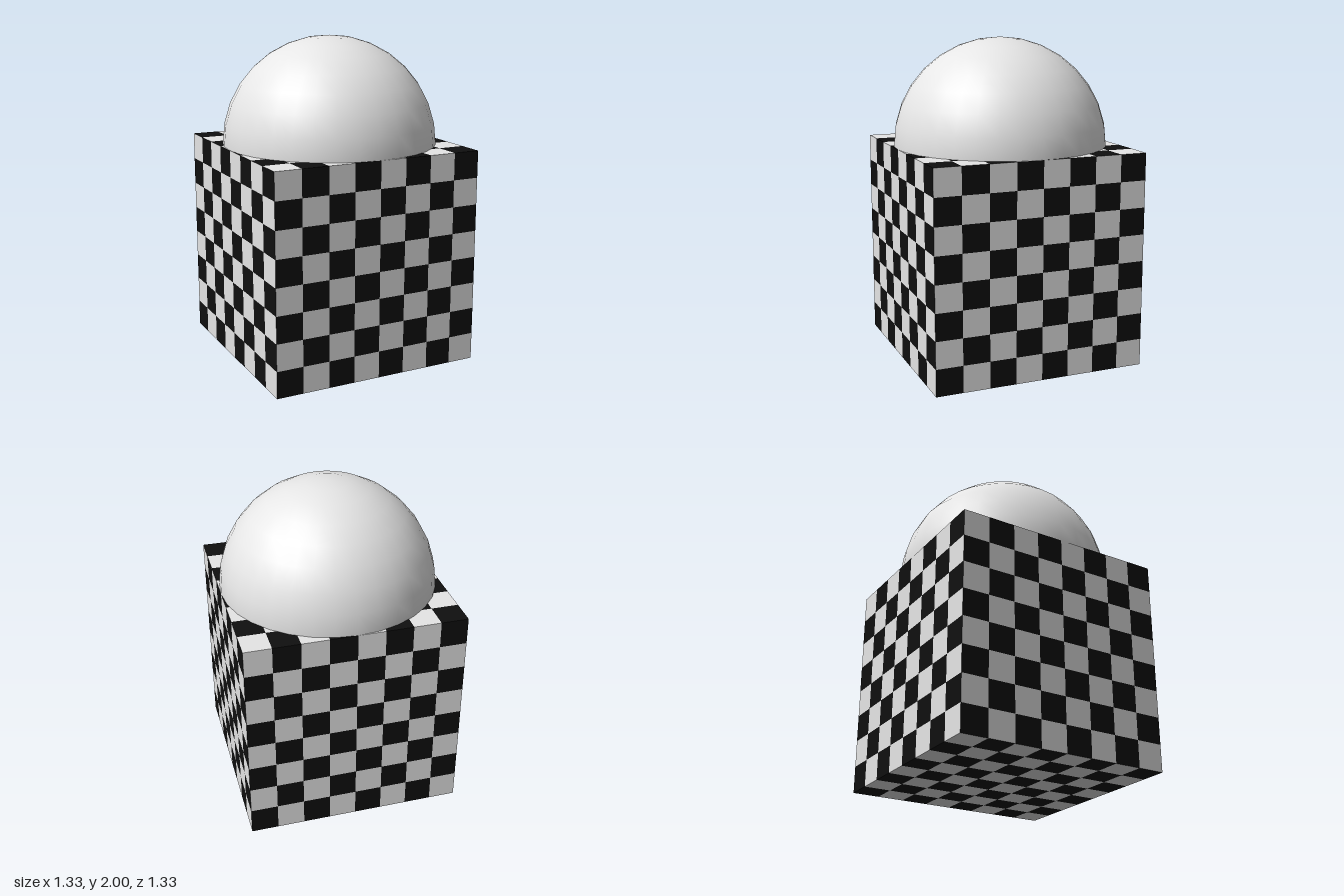
import * as THREE from 'three';

const SIDE = 4 / 3;
const CELLS = 8;

const white = new THREE.MeshStandardMaterial({ color: 0xe6e6e6 });
white.name = 'offWhite';
const black = new THREE.MeshStandardMaterial({ color: 0x0f0f0f });
black.name = 'nearBlack';

// Cube whose faces are sorted into two colour groups, one quad per square
function checkeredBox() {
  const geometry = new THREE.BoxGeometry(SIDE, SIDE, SIDE, CELLS, CELLS, CELLS);
  const source = geometry.index.array;
  const squares = [[], []];
  for (let face = 0; face < 6; face++) {
    // The top and bottom start on a dark square, the four walls on a light one
    const shift = face === 2 || face === 3 ? 1 : 0;
    for (let row = 0; row < CELLS; row++) {
      for (let col = 0; col < CELLS; col++) {
        const start = ((face * CELLS + row) * CELLS + col) * 6;
        squares[(row + col + shift) % 2].push(...source.slice(start, start + 6));
      }
    }
  }
  geometry.setIndex([...squares[0], ...squares[1]]);
  geometry.clearGroups();
  geometry.addGroup(0, squares[0].length, 0);
  geometry.addGroup(squares[0].length, squares[1].length, 1);
  return geometry;
}

export function createModel() {
  const model = new THREE.Group();
  model.name = 'domedCube';

  // Checkered base
  const base = new THREE.Mesh(checkeredBox(), [white, black]);
  base.name = 'checkeredCube';
  base.position.y = SIDE / 2;
  model.add(base);

  // Smooth dome, as wide as the cube
  const dome = new THREE.Mesh(
    new THREE.SphereGeometry(SIDE / 2, 32, 8, 0, Math.PI * 2, 0, Math.PI / 2),
    white
  );
  dome.name = 'dome';
  dome.position.y = SIDE;
  model.add(dome);

  return model;
}
